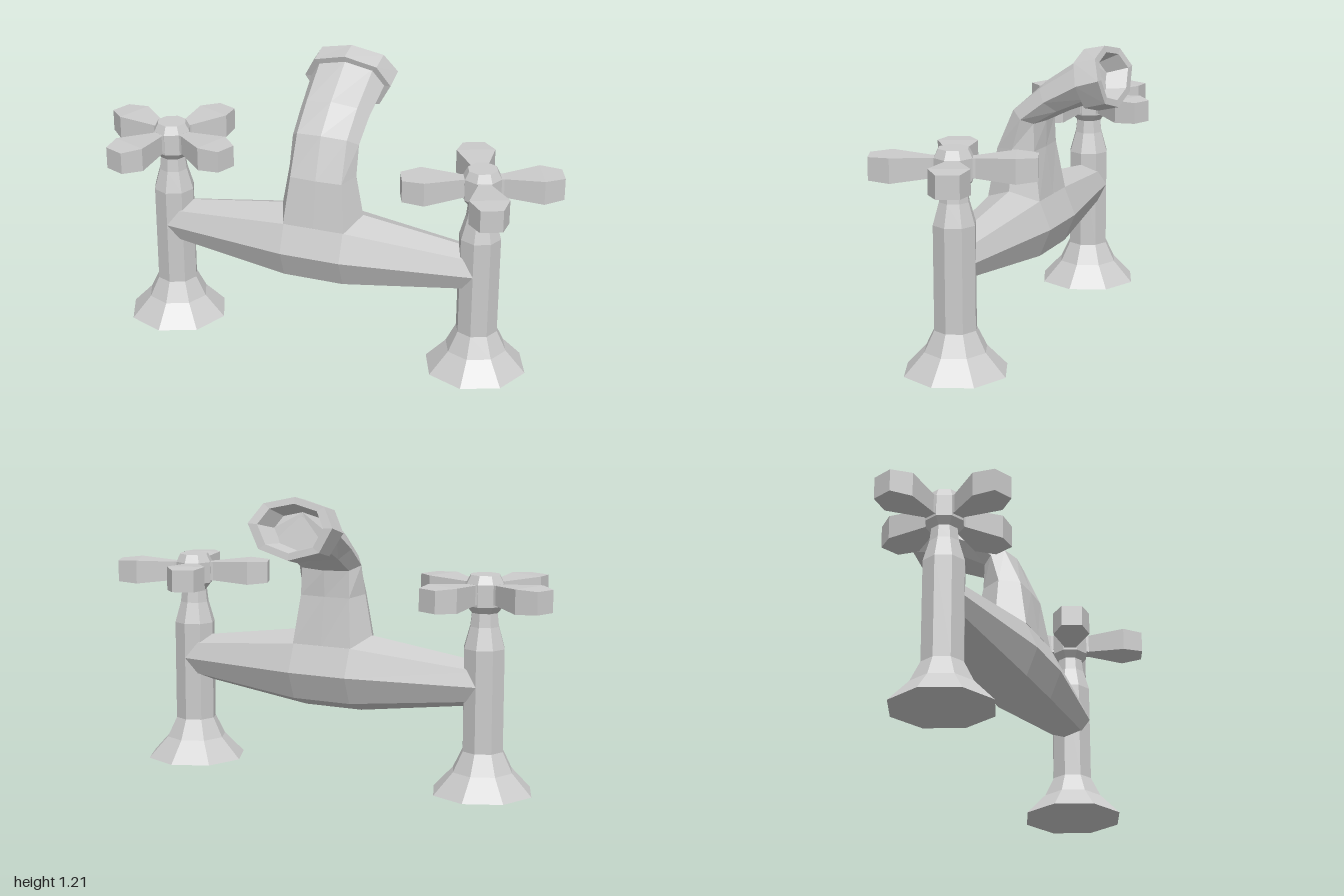
import * as THREE from 'three';

const V = (x, y, z) => new THREE.Vector3(x, y, z);
const AXIS_Z = 0.045; // depth of the taps and the cross bar

const material = new THREE.MeshStandardMaterial({ color: 0xcccccc, flatShading: true });

function part(name, geometry) {
  const mesh = new THREE.Mesh(geometry, material);
  mesh.name = name;
  return mesh;
}

// Skin a list of equal-length rings and close both ends
function loft(rings) {
  const pos = [];
  const tri = (...pts) => pts.forEach(p => pos.push(p.x, p.y, p.z));
  const n = rings[0].length;
  for (let j = 0; j < rings.length - 1; j++) {
    const a = rings[j], b = rings[j + 1];
    for (let i = 0; i < n; i++) {
      const k = (i + 1) % n;
      tri(a[i], a[k], b[k]);
      tri(a[i], b[k], b[i]);
    }
  }
  const first = rings[0], last = rings[rings.length - 1];
  for (let i = 1; i < n - 1; i++) {
    tri(first[0], first[i + 1], first[i]);
    tri(last[0], last[i], last[i + 1]);
  }
  const g = new THREE.BufferGeometry();
  g.setAttribute('position', new THREE.Float32BufferAttribute(pos, 3));
  g.computeVertexNormals();
  return g;
}

// Eight-sided surface of revolution from [radius, height] pairs
function turned(profile) {
  return new THREE.LatheGeometry(profile.map(p => new THREE.Vector2(...p)), 8);
}

// Eight-point ring from top, middle and bottom [y, z], half width,
// and how far the corners reach sideways (k) and up (s)
function spoutRing(top, mid, bottom, hx, k = 0.72, s = 0.72) {
  const t = V(0, ...top), m = V(0, ...mid), b = V(0, ...bottom);
  const at = (end, x, f) => m.clone().lerp(end, f).setX(x);
  return [t, at(t, k * hx, s), m.clone().setX(hx), at(b, k * hx, s),
    b, at(b, -k * hx, s), m.clone().setX(-hx), at(t, -k * hx, s)];
}

// Shrink a ring about its centre and shift it
function inset(ring, f, shift = V(0, 0, 0)) {
  const c = ring.reduce((s, p) => s.add(p), V(0, 0, 0)).divideScalar(ring.length);
  return ring.map(p => c.clone().lerp(p, f).add(shift));
}

function createTap(side) {
  const tap = new THREE.Group();
  tap.name = side > 0 ? 'leftTap' : 'rightTap';

  // Flared foot, shaft and neck
  tap.add(part('column', turned([
    [0, 0], [0.215, 0], [0.13, 0.09], [0.088, 0.175], [0.088, 0.6],
    [0.062, 0.69], [0.055, 0.75], [0, 0.75]])));
  tap.add(part('handleHub', turned([
    [0, 0.745], [0.055, 0.745], [0.08, 0.775], [0.08, 0.865], [0.062, 0.9], [0, 0.9]])));

  // Four paddles: [distance out, half width, half height]
  const sections = [[0.03, 0.028, 0.038], [0.085, 0.028, 0.04], [0.24, 0.08, 0.05], [0.325, 0.045, 0.046]];
  const blade = loft(sections.map(([u, w, h]) => [V(w, h, u), V(-w, h, u), V(-w, -h, u), V(w, -h, u)]));
  for (let i = 0; i < 4; i++) {
    const paddle = part('handlePaddle', blade);
    paddle.position.y = 0.825;
    paddle.rotation.y = side * Math.PI / 8 + i * Math.PI / 2;
    tap.add(paddle);
  }
  tap.position.set(side * 0.68, 0, AXIS_Z);
  return tap;
}

export function createModel() {
  const model = new THREE.Group();
  model.name = 'mixerTap';
  model.add(createTap(1), createTap(-1));

  // Cross bar, thickest in the middle
  const bar = part('crossBar', turned([
    [0, -0.68], [0.088, -0.68], [0.165, -0.13], [0.165, 0.13], [0.088, 0.68], [0, 0.68]]));
  bar.rotation.z = Math.PI / 2;
  bar.position.set(0, 0.45, AXIS_Z);
  model.add(bar);

  // Spout rising from the bar and bending back
  const tip = spoutRing([1.17, -0.225], [1.075, -0.26], [0.985, -0.285], 0.163);
  model.add(part('spout', loft([
    spoutRing([0.567, 0.162], [0.6, 0.045], [0.567, -0.072], 0.18, 0.74, 1),
    spoutRing([0.77, 0.133], [0.78, 0.045], [0.77, -0.043], 0.147, 0.76, 0.95),
    spoutRing([0.945, 0.068], [0.905, 0.01], [0.88, -0.045], 0.145, 0.75, 0.8),
    spoutRing([1.05, -0.05], [0.985, -0.095], [0.932, -0.15], 0.15, 0.74, 0.75),
    tip])));

  // Collar with a hollow mouth
  const back = spoutRing([1.19, -0.21], [1.07, -0.25], [0.94, -0.275], 0.19);
  const front = spoutRing([1.21, -0.3], [1.1, -0.348], [0.962, -0.363], 0.19);
  model.add(part('spoutCollar', loft([
    inset(back, 0.75), back, front, inset(front, 0.78),
    inset(front, 0.6, V(0, -0.02, 0.08))])));

  return model;
}
